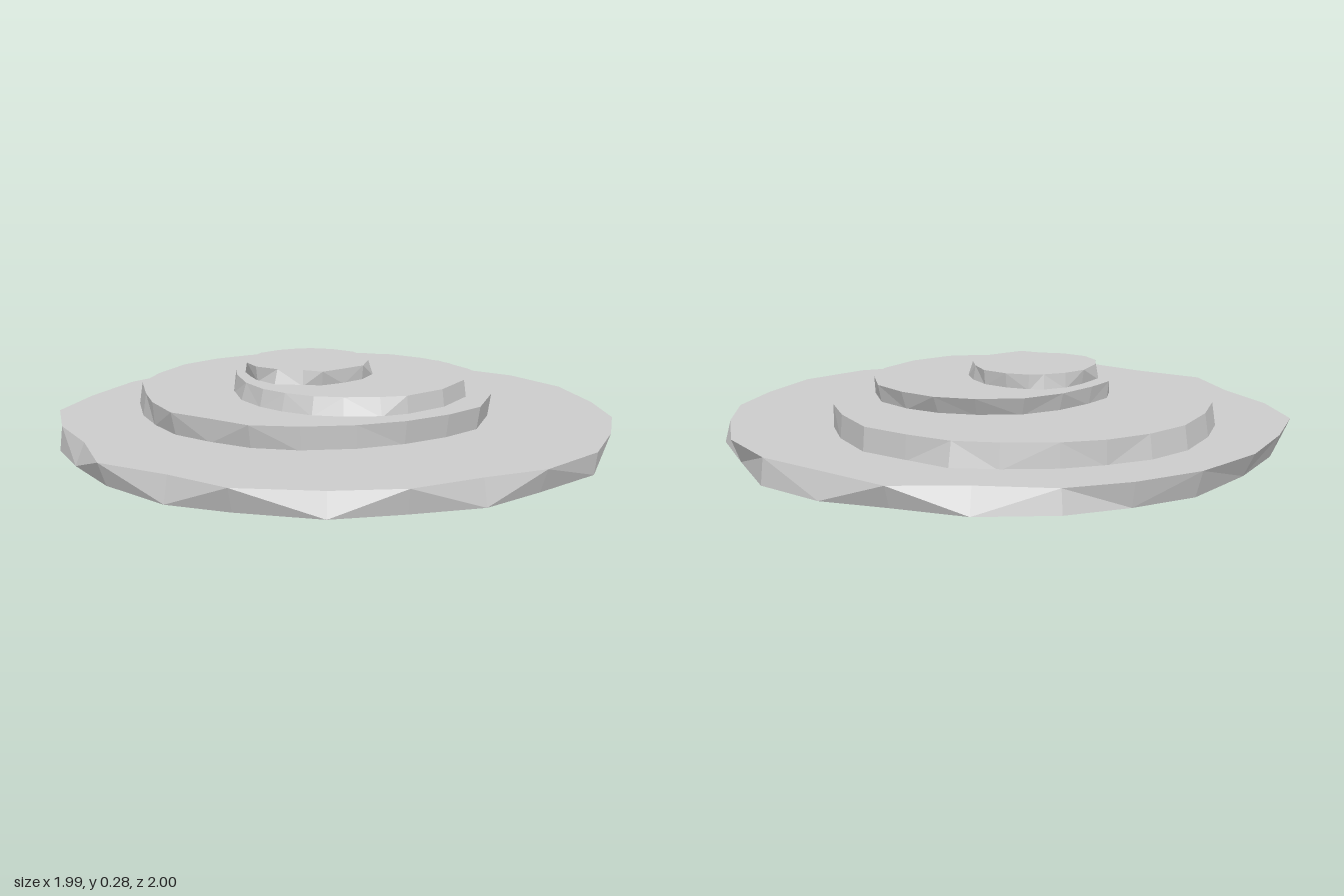
import * as THREE from 'three';

const material = new THREE.MeshStandardMaterial({ color: 0xcccccc, flatShading: true });

// One stone slab: outline holds [x, z, k] clockwise from above,
// where k scales the lower rim about the slab's centre.
function slab(name, outline, cx, cz, y0, y1, unevenness = 0) {
  const n = outline.length;
  const top = outline.map(([x, z]) => [x, y1, z]);
  const bottom = outline.map(([x, z, k], i) => [
    cx + (x - cx) * k,
    y0 + unevenness * (1 + Math.sin(i * 1.7)),
    cz + (z - cz) * k,
  ]);
  const positions = [];
  const triangle = (a, b, c) => positions.push(...a, ...b, ...c);
  for (let i = 0; i < n; i++) {
    const j = (i + 1) % n;
    triangle([cx, y1, cz], top[j], top[i]);
    triangle([cx, y0, cz], bottom[i], bottom[j]);
    // Alternate the diagonal for a chipped rim
    if (i % 2) {
      triangle(top[i], top[j], bottom[j]);
      triangle(top[i], bottom[j], bottom[i]);
    } else {
      triangle(top[i], top[j], bottom[i]);
      triangle(top[j], bottom[j], bottom[i]);
    }
  }
  const geometry = new THREE.BufferGeometry();
  geometry.setAttribute('position', new THREE.Float32BufferAttribute(positions, 3));
  geometry.computeVertexNormals();
  const mesh = new THREE.Mesh(geometry, material);
  mesh.name = name;
  return mesh;
}

const baseOutline = [
  [0, -0.96, 1.04], [0.25, -0.99, 0.97], [0.46, -0.86, 1.03], [0.69, -0.72, 1.01],
  [0.86, -0.51, 0.97], [0.95, -0.24, 1.02], [0.99, 0, 0.98], [0.95, 0.24, 0.97],
  [0.87, 0.49, 0.99], [0.69, 0.7, 0.97], [0.49, 0.8, 1.02], [0.27, 0.93, 0.98],
  [0.03, 0.965, 1.035], [-0.26, 0.95, 0.97], [-0.46, 0.82, 1.02], [-0.7, 0.7, 0.97],
  [-0.8, 0.455, 1.035], [-0.93, 0.24, 1.01], [-1, 0, 0.96], [-0.94, -0.25, 0.97],
  [-0.84, -0.51, 0.96], [-0.67, -0.73, 0.97], [-0.47, -0.87, 0.98], [-0.26, -0.96, 1.02],
];

const lowerOutline = [
  [-0.06, -0.765, 1.02], [0.09, -0.76, 1.035], [0.24, -0.695, 1.01], [0.39, -0.61, 1.01],
  [0.5, -0.45, 1.01], [0.565, -0.3, 1], [0.565, -0.15, 0.99], [0.56, 0, 0.98],
  [0.51, 0.21, 0.98], [0.4, 0.33, 0.98], [0.26, 0.43, 0.98], [0.1, 0.495, 0.99],
  [-0.08, 0.525, 0.99], [-0.25, 0.515, 0.97], [-0.39, 0.43, 0.99], [-0.53, 0.35, 0.97],
  [-0.62, 0.2, 0.99], [-0.67, 0.06, 1.02], [-0.72, -0.13, 1.02], [-0.69, -0.3, 1.02],
  [-0.62, -0.48, 1.02], [-0.51, -0.605, 1.02], [-0.38, -0.695, 1], [-0.24, -0.745, 1.01],
];

const upperOutline = [
  [0.06, -0.44, 0.91], [0.2, -0.42, 0.92], [0.32, -0.35, 0.95], [0.42, -0.25, 0.97],
  [0.465, -0.1, 0.99], [0.46, 0.05, 1.02], [0.38, 0.21, 1.02], [0.26, 0.32, 1.02],
  [0.17, 0.345, 1.06], [0.05, 0.355, 1.07], [-0.05, 0.345, 1.06], [-0.15, 0.3, 1.05],
  [-0.23, 0.24, 1.04], [-0.3, 0.14, 1.05], [-0.35, 0, 1.03], [-0.365, -0.1, 0.98],
  [-0.31, -0.2, 0.97], [-0.22, -0.32, 0.95], [-0.1, -0.41, 0.93],
];

const capOutline = [
  [-0.1, -0.265, 1], [-0.02, -0.25, 0.97], [0.06, -0.2, 0.98], [0.1, -0.12, 1.04],
  [0.12, -0.04, 1.08], [0.105, 0.06, 0.98], [0.04, 0.12, 1], [-0.03, 0.18, 0.95],
  [-0.1, 0.155, 1.07], [-0.19, 0.145, 1.1], [-0.27, 0.1, 0.97], [-0.31, 0.03, 0.94],
  [-0.315, -0.05, 1.05], [-0.28, -0.16, 0.96], [-0.22, -0.22, 1.02], [-0.15, -0.255, 1.05],
];

export function createModel() {
  const group = new THREE.Group();
  group.name = 'steppedRock';
  group.add(
    slab('baseSlab', baseOutline, 0, 0, 0, 0.09, 0.007),
    slab('lowerSlab', lowerOutline, -0.08, -0.12, 0.085, 0.17),
    slab('upperSlab', upperOutline, 0.05, -0.04, 0.165, 0.23),
    slab('capSlab', capOutline, -0.1, -0.04, 0.225, 0.28),
  );
  return group;
}
